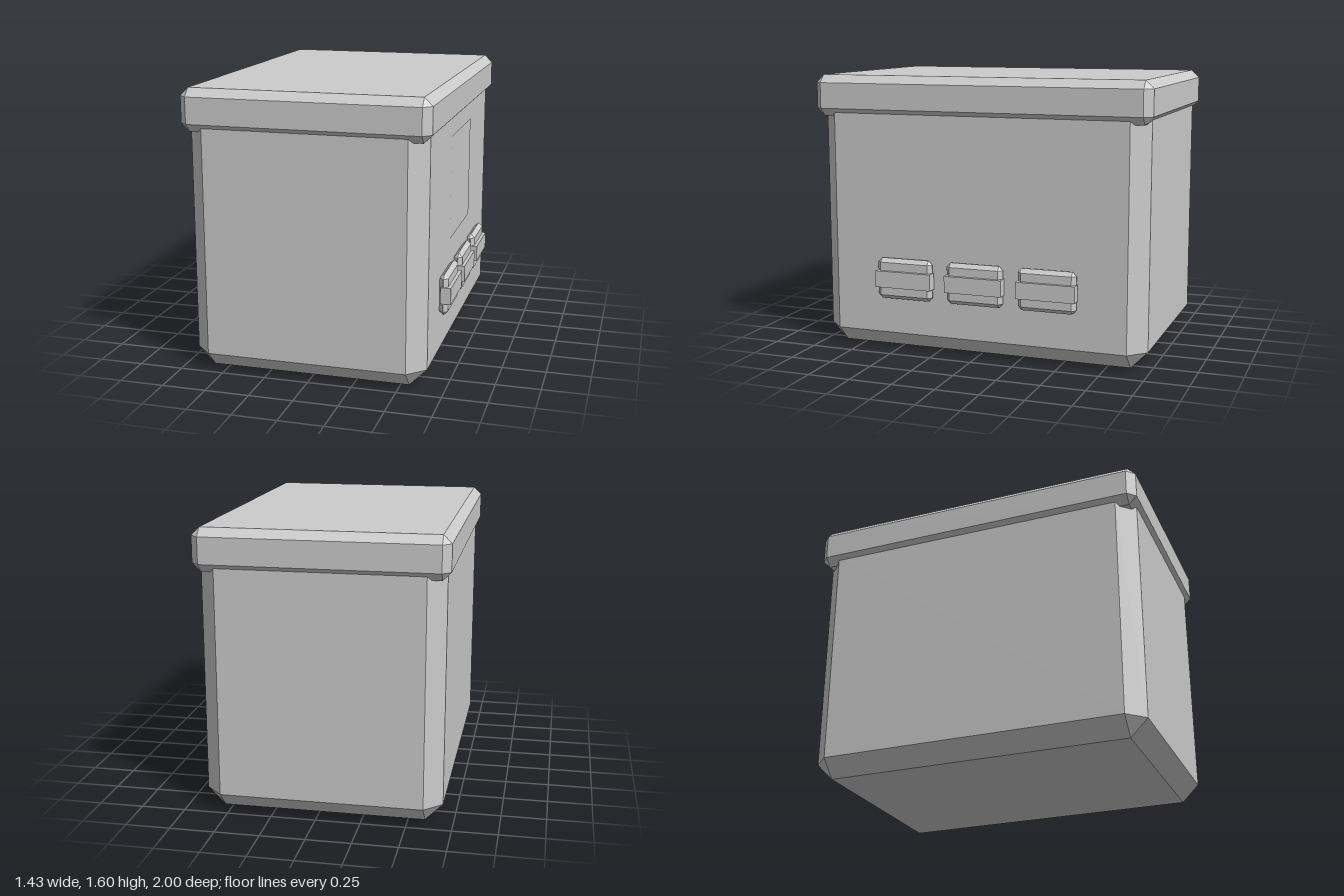
import * as THREE from 'three';
import { ConvexGeometry } from 'three/addons/geometries/ConvexGeometry.js';

const grey = new THREE.MeshStandardMaterial({ color: 0xcccccc, flatShading: true });

// Box with every edge cut at 45 degrees and triangular corners
function chamferBox(w, h, d, c) {
  const points = [];
  for (const sx of [-1, 1]) for (const sy of [-1, 1]) for (const sz of [-1, 1]) {
    for (let axis = 0; axis < 3; axis++) {
      const inset = [0, 1, 2].map((i) => (i === axis ? 0 : c));
      points.push(new THREE.Vector3(
        sx * (w / 2 - inset[0]), sy * (h / 2 - inset[1]), sz * (d / 2 - inset[2])));
    }
  }
  return new ConvexGeometry(points);
}

function addPart(parent, name, geometry, x, y, z) {
  const mesh = new THREE.Mesh(geometry, grey);
  mesh.name = name;
  mesh.position.set(x, y, z);
  parent.add(mesh);
  return mesh;
}

export function createModel() {
  const model = new THREE.Group();
  model.name = 'lockerBox';
  const cx = -0.0225;

  // Body, its top tucked inside the lid
  addPart(model, 'body', chamferBox(1.335, 1.5, 1.954, 0.098), cx, 0.75, 0);

  // Overhanging lid
  addPart(model, 'lid', chamferBox(1.385, 0.24, 2, 0.046), cx, 1.48, 0);

  // Flat panel on the side wall
  const panel = addPart(model, 'sidePanel', new THREE.PlaneGeometry(0.606, 0.606), 0.647, 0.98, 0);
  panel.rotation.y = Math.PI / 2;

  // Row of three latches, each a bevelled plate with a band across it
  for (const z of [-0.43, 0, 0.43]) {
    const latch = new THREE.Group();
    latch.name = 'latch';
    latch.position.set(0.671, 0.43, z);
    addPart(latch, 'latchPlate', chamferBox(0.05, 0.24, 0.34, 0.0235), 0, 0, 0);
    addPart(latch, 'latchBand', new THREE.BoxGeometry(0.06, 0.096, 0.342), 0.014, 0, 0);
    model.add(latch);
  }
  return model;
}
